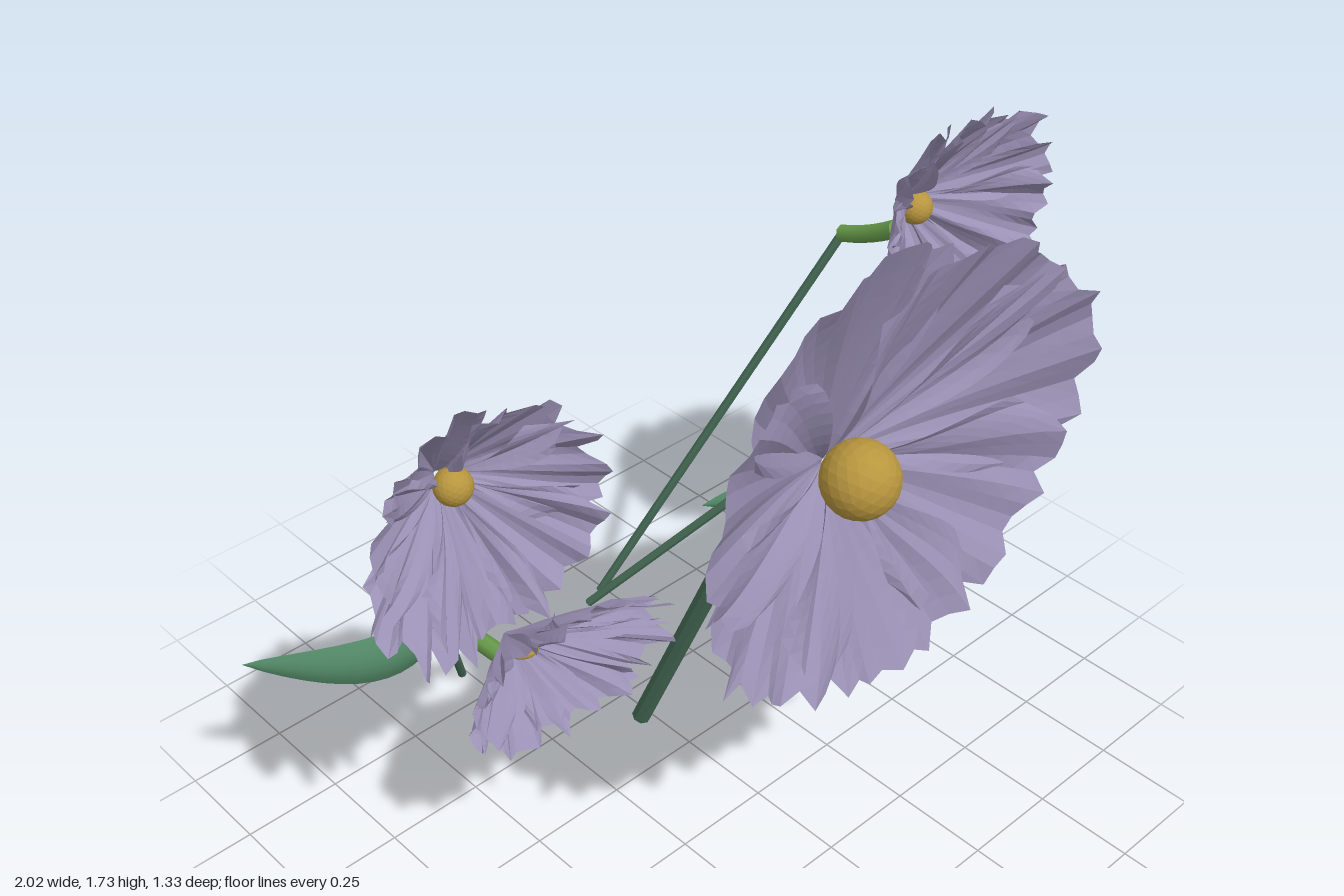
import * as THREE from 'three';

const mat = (color, flatShading = true) =>
  new THREE.MeshStandardMaterial({ color, flatShading, side: THREE.DoubleSide });
const petalMat = mat(0x9a90b4);
const stemMat = mat(0x476d57);
const neckMat = mat(0x6a9f4c, false);
const leafMat = mat(0x528866, false);
const heartMat = mat(0xb8963f);

// Small seeded generator for the ragged petal rims
let seed = 7;
const rand = () => (seed = (seed * 16807) % 2147483647) / 2147483647;

// Grid surface from a rule: at(i, j) returns [x, y, z]
function sheet(nu, nv, at) {
  const pos = [], index = [];
  for (let j = 0; j <= nv; j++) {
    for (let i = 0; i <= nu; i++) {
      pos.push(...at(i, j));
      if (i < nu && j < nv) {
        const a = j * (nu + 1) + i, b = a + nu + 1;
        index.push(a, a + 1, b, a + 1, b + 1, b);
      }
    }
  }
  const g = new THREE.BufferGeometry();
  g.setAttribute('position', new THREE.Float32BufferAttribute(pos, 3));
  g.setIndex(index);
  g.computeVertexNormals();
  return g;
}

function add(group, name, geometry, material) {
  const mesh = new THREE.Mesh(geometry, material);
  mesh.name = name;
  group.add(mesh);
  return mesh;
}

// Petal: narrow base, spoon-shaped body, irregular pleats that grow towards the rim
function petal(f, angle, length, lift) {
  const nu = 18, nv = 9;
  const rag = Array.from({ length: nu + 1 }, rand);
  const phase = rand() * 6;
  return sheet(nu, nv, (i, j) => {
    const s = (i / nu) * 2 - 1, v = j / nv;
    const a = angle + s * f.spread * (0.65 + 0.35 * Math.sin(v * Math.PI * 0.65));
    const round = 1 - f.lobe * s ** 4;
    const r = 0.03 + v * (length - 0.03) * round * (1 + f.rag * (rag[i] - 0.6) * v ** 3);
    const pleat = (Math.sin(s * 13 + phase) * 0.45 + rag[i] - 0.5) * f.ruffle * v ** 1.5;
    const cup = (s * s - 0.4) * f.cup * v * (1 - v) + s * f.ruffle * 0.4 * v;
    return [
      r * Math.cos(a) * f.rx + f.ox * v,
      r * Math.sin(a) * f.ry + f.oy * v,
      f.depth * (v * round) ** f.curve + pleat + cup + lift * v * (1.2 - v) - f.base,
    ];
  });
}

function flower(f) {
  const group = new THREE.Group();
  group.name = f.name;
  const head = new THREE.Group();
  head.name = 'flowerHead';
  head.position.set(...f.at);
  f.lengths.forEach((length, k) => {
    const angle = f.roll + (k / f.lengths.length) * Math.PI * 2;
    add(head, 'petal', petal(f, angle, length, (k % 2) * f.lift), petalMat);
  });
  const heart = add(head, 'flowerCentre', new THREE.IcosahedronGeometry(f.heart, 3), heartMat);
  heart.scale.y = f.ry < f.rx * 0.7 ? 0.5 : 1;
  heart.position.z = f.heart * 1.05;
  group.add(head);

  // Light curved neck behind the head, then a straight stem to the ground
  const [p0, p1, foot] = [f.neck[0], f.neck[1], f.foot].map(([x, y, z]) => new THREE.Vector3(x, y, z));
  const mid = p0.clone().lerp(p1, 0.5);
  mid.y -= f.sag;
  const curve = new THREE.QuadraticBezierCurve3(p0, mid, p1);
  add(group, 'neck', new THREE.TubeGeometry(curve, 6, 0.023, 8), neckMat);
  for (const [p, dir] of [[p0, -1], [p1, 1]]) {
    const cap = add(group, 'neckEnd', new THREE.CircleGeometry(0.023, 8), neckMat);
    cap.position.copy(p);
    cap.lookAt(p.clone().addScaledVector(curve.getTangent(dir > 0 ? 1 : 0), dir));
  }
  const span = p1.clone().sub(foot);
  const stem = add(group, 'stem', new THREE.CylinderGeometry(f.stem, f.stem, span.length(), 8), stemMat);
  stem.position.copy(foot).addScaledVector(span, 0.5);
  stem.quaternion.setFromUnitVectors(new THREE.Vector3(0, 1, 0), span.normalize());
  return group;
}

// Pointed leaf, bowed forward, bulging along the middle
function leaf(side, x, y) {
  return sheet(6, 16, (i, j) => {
    const s = i / 3 - 1, t = j / 16;
    const bow = Math.sin(Math.PI * Math.min(t, 0.9999));
    const w = 0.062 * bow ** 0.8;
    return [
      side * (x + 0.57 * t),
      y + 0.095 * t - 0.015 * bow + s * w,
      -0.355 - 0.045 * t + 0.11 * bow + 0.35 * w * (1 - s * s) - 0.1 * w * s,
    ];
  });
}

export function createModel() {
  seed = 7;
  const model = new THREE.Group();
  model.name = 'flowerBunch';

  // Large open bloom in front
  model.add(flower({
    name: 'largeFlower', at: [-0.03, 1.14, 0.45], roll: 0.17, spread: 0.72,
    lengths: [1.03, 0.95, 1.07, 0.98, 1, 0.98, 0.96],
    rx: 0.58, ry: 0.52, ox: 0.03, oy: 0.045, depth: 0.195, curve: 1, base: 0.003, lobe: 0.25,
    ruffle: 0.028, rag: 0.12, cup: 0.2, lift: 0.03, heart: 0.087, sag: 0.025, stem: 0.025,
    neck: [[-0.03, 1.07, 0.46], [-0.03, 0.97, 0.27]], foot: [-0.03, 0.01, -0.15],
  }));

  // Four smaller, more cupped blooms; the lower pair is flattened
  const small = {
    lengths: [1, 0.95, 1.02, 0.97, 1.03, 0.94, 1], spread: 0.7, rx: 0.285, ry: 0.29, ox: 0, oy: 0,
    depth: 0.205, curve: 0.9, base: 0.012, lobe: 0.2,
    ruffle: 0.04, rag: 0.2, cup: 0.2, lift: 0.03, heart: 0.042, sag: 0.015, stem: 0.012,
  };
  const low = { ry: 0.155, sag: 0 };
  model.add(
    flower({ ...small, name: 'upperRightFlower', at: [-0.69, 1.19, 0], roll: 0.2, ox: -0.035, oy: -0.02,
      neck: [[-0.69, 1.11, 0.01], [-0.69, 1.03, -0.17]], foot: [-0.27, 0.01, -0.6] }),
    flower({ ...small, name: 'upperLeftFlower', at: [0.69, 1.31, 0], roll: 0.6, ox: 0.02,
      neck: [[0.69, 1.23, -0.01], [0.69, 1.15, -0.18]], foot: [0.23, 0.01, -0.61] }),
    flower({ ...small, ...low, name: 'lowerRightFlower', at: [-0.51, 0.63, -0.05], roll: 0.4, ox: 0.02,
      neck: [[-0.51, 0.55, -0.06], [-0.51, 0.54, -0.23]], foot: [-0.2, 0.01, -0.65] }),
    flower({ ...small, ...low, name: 'lowerLeftFlower', at: [0.5, 0.65, 0.005], roll: 0.9, ox: 0.02,
      neck: [[0.5, 0.575, 0.01], [0.5, 0.565, -0.16]], foot: [0.17, 0.01, -0.59] }),
  );

  // One leaf on each side
  add(model, 'leftLeaf', leaf(1, 0.38, 0.37), leafMat);
  add(model, 'rightLeaf', leaf(-1, 0.42, 0.515), leafMat);
  return model;
}
